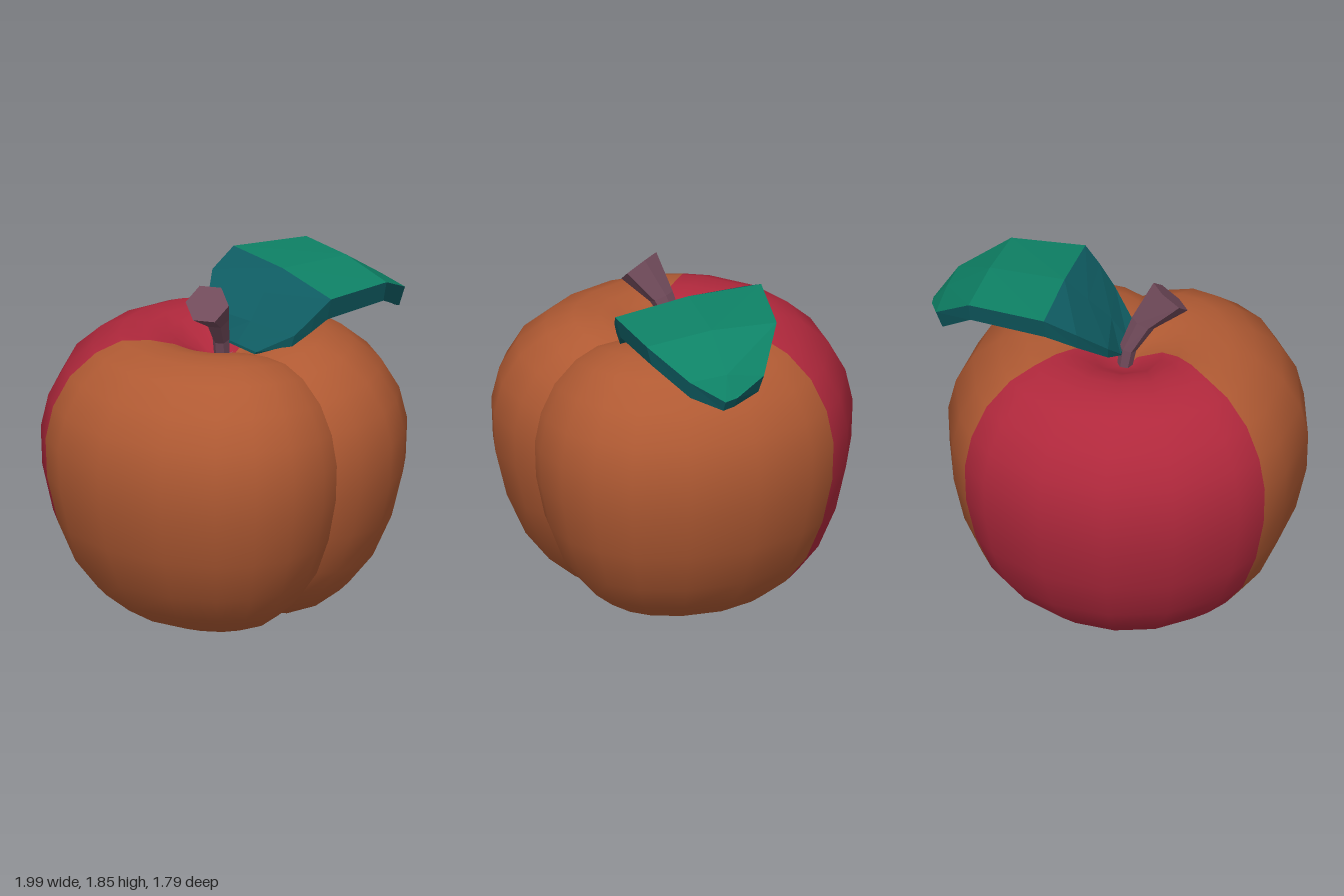
import * as THREE from 'three';

const paint = (name, color) => {
  const m = new THREE.MeshStandardMaterial({ color });
  m.name = name;
  return m;
};

// Piecewise linear lookup in a list of [input, output] pairs
function lookup(table, t) {
  for (let i = 1; i < table.length; i++) {
    const [a, va] = table[i - 1], [b, vb] = table[i];
    if (t <= b) return va + (vb - va) * (t - a) / (b - a);
  }
  return table[table.length - 1][1];
}

// Fruit: rings turned from a profile, pinched by a crease at the front
function fruitGeometry() {
  const profile = [[0, 1.4], [0.08, 1.415], [0.18, 1.47], [0.28, 1.525], [0.39, 1.545], [0.53, 1.54],
    [0.67, 1.485], [0.81, 1.365], [0.9, 1.205], [0.94, 1.03], [0.932, 0.82], [0.875, 0.57],
    [0.78, 0.345], [0.66, 0.19], [0.53, 0.085], [0.38, 0.022], [0.22, 0], [0.1, 0.035], [0, 0.06]];
  // Angles are in degrees from the front
  const girth = [[0, 0.845], [9, 0.9], [22.5, 0.96], [35, 0.975], [47.5, 0.98], [65, 0.957],
    [88, 0.94], [110, 0.927], [133, 0.92], [157, 0.905], [180, 0.9]];
  const pinch = [[0, 0.92], [9, 0.955], [22.5, 0.99], [35, 1], [180, 1]];
  const blushEdge = [[0, 20], [0.1, 35], [0.18, 75], [0.24, 98], [0.39, 113], [0.53, 120], [0.94, 122]];
  const skinSteps = [0, 9, 22.5, 35, 47.5, 65, 88, 110, 122].map(a => a / 122);
  const blushSteps = [0.2, 0.6, 1];

  const positions = [], skin = [], blush = [];
  let columns = 0;
  for (const [r, y] of profile) {
    const edge = lookup(blushEdge, r);
    const half = [...skinSteps.map(s => s * edge), ...blushSteps.map(s => edge + s * (180 - edge))];
    const full = [...half, ...half.slice(0, -1).reverse().map(a => 360 - a)];
    columns = full.length;
    for (const a of full) {
      const side = Math.min(a, 360 - a), t = THREE.MathUtils.degToRad(a);
      const radius = r * lookup(girth, side) / 0.94;
      positions.push(-0.06 + radius * Math.sin(t), 0.77 + (y - 0.77) * lookup(pinch, side), radius * Math.cos(t));
    }
  }
  const first = skinSteps.length - 1, last = columns - 1 - first;
  for (let i = 0; i < profile.length - 1; i++) {
    for (let j = 0; j < columns - 1; j++) {
      const a = i * columns + j, b = a + columns;
      const target = j >= first && j < last ? blush : skin;
      if (i > 0) target.push(a, b, a + 1);
      else target.push(a, b, b + 1);
      if (i > 0 && i < profile.length - 2) target.push(a + 1, b, b + 1);
    }
  }
  const g = new THREE.BufferGeometry();
  g.setAttribute('position', new THREE.Float32BufferAttribute(positions, 3));
  g.setIndex([...skin, ...blush]);
  g.addGroup(0, skin.length, 0);
  g.addGroup(skin.length, blush.length, 1);
  g.computeVertexNormals();
  return g;
}

// Faceted solid through matching rings, with capped ends; pick(i, j) gives a face's material
function loft(rings, pick = () => 0) {
  const faces = [[], []], n = rings[0].length;
  const tri = (m, ...points) => points.forEach(p => faces[m].push(p.x, p.y, p.z));
  for (let i = 0; i < rings.length - 1; i++) {
    for (let j = 0; j < n; j++) {
      const k = (j + 1) % n, m = pick(i, j), A = rings[i], B = rings[i + 1];
      tri(m, A[j], A[k], B[k]);
      tri(m, A[j], B[k], B[j]);
    }
  }
  const start = rings[0], end = rings[rings.length - 1];
  for (let j = 1; j < n - 1; j++) {
    tri(0, start[0], start[j + 1], start[j]);
    tri(0, end[0], end[j], end[j + 1]);
  }
  const g = new THREE.BufferGeometry();
  g.setAttribute('position', new THREE.Float32BufferAttribute([...faces[0], ...faces[1]], 3));
  g.addGroup(0, faces[0].length / 3, 0);
  g.addGroup(faces[0].length / 3, faces[1].length / 3, 1);
  g.computeVertexNormals();
  return g;
}

// Leaf: back and front rim at each station from base to tip, and its thickness there
function leafGeometry() {
  const stations = [
    [[-0.03, 1.5, -0.04], [-0.06, 1.49, 0.27], 0.015],
    [[0.02, 1.61, -0.16], [0.06, 1.59, 0.43], 0.07],
    [[0.17, 1.75, -0.26], [0.15, 1.69, 0.49], 0.1],
    [[0.34, 1.83, -0.27], [0.23, 1.77, 0.53], 0.12],
    [[0.75, 1.805, -0.14], [0.62, 1.765, 0.555], 0.11],
    [[0.945, 1.62, 0.04], [0.88, 1.64, 0.44], 0.1],
    [[0.99, 1.55, 0.22], [0.99, 1.54, 0.29], 0.06]];
  const rings = stations.map(([b, f, thick], i) => {
    const back = new THREE.Vector3(...b), front = new THREE.Vector3(...f);
    const mid = back.clone().lerp(front, 0.5);
    mid.y += i > 2 && i < 6 ? 0.025 : 0;
    const under = p => {
      const q = p.clone().lerp(mid, 0.08);
      q.y = p.y - thick;
      q.x -= i > 4 ? 0.03 : 0;
      return q;
    };
    return [back, mid, front, under(front), under(mid), under(back)];
  });
  return loft(rings, (i, j) => (i >= 3 && j < 2 ? 1 : 0));
}

// Stem: six-sided, flaring and leaning towards its cut end
function stemGeometry() {
  const sections = [
    [[-0.045, 1.4, 0.01], [-0.2, 1, 0.1], 0.04],
    [[-0.06, 1.5, 0.02], [-0.3, 1, 0.15], 0.045],
    [[-0.135, 1.64, 0.06], [-0.5, 1, 0.3], 0.065],
    [[-0.27, 1.775, 0.12], [-0.75, 0.9, 0.45], 0.115]];
  const up = new THREE.Vector3(0, 1, 0);
  return loft(sections.map(([centre, lean, r]) => {
    const turn = new THREE.Quaternion().setFromUnitVectors(up, new THREE.Vector3(...lean).normalize());
    return Array.from({ length: 6 }, (_, k) => {
      const a = k * Math.PI / 3;
      return new THREE.Vector3(r * Math.cos(a), 0, -r * Math.sin(a)).applyQuaternion(turn)
        .add(new THREE.Vector3(...centre));
    });
  }));
}

export function createModel() {
  const skin = paint('orange skin', 0xb05a33);
  const blush = paint('red blush', 0xb0283c);
  const leafTop = paint('leaf green', 0x0e8266);
  const leafUnder = paint('leaf teal', 0x0f5c62);
  const bark = paint('stem brown', 0x704a5a);

  const model = new THREE.Group();
  model.name = 'fruit with leaf';
  const add = (name, geometry, material) => {
    const mesh = new THREE.Mesh(geometry, material);
    mesh.name = name;
    model.add(mesh);
  };
  add('fruit', fruitGeometry(), [skin, blush]);
  add('leaf', leafGeometry(), [leafUnder, leafTop]);
  add('stem', stemGeometry(), bark);
  return model;
}
